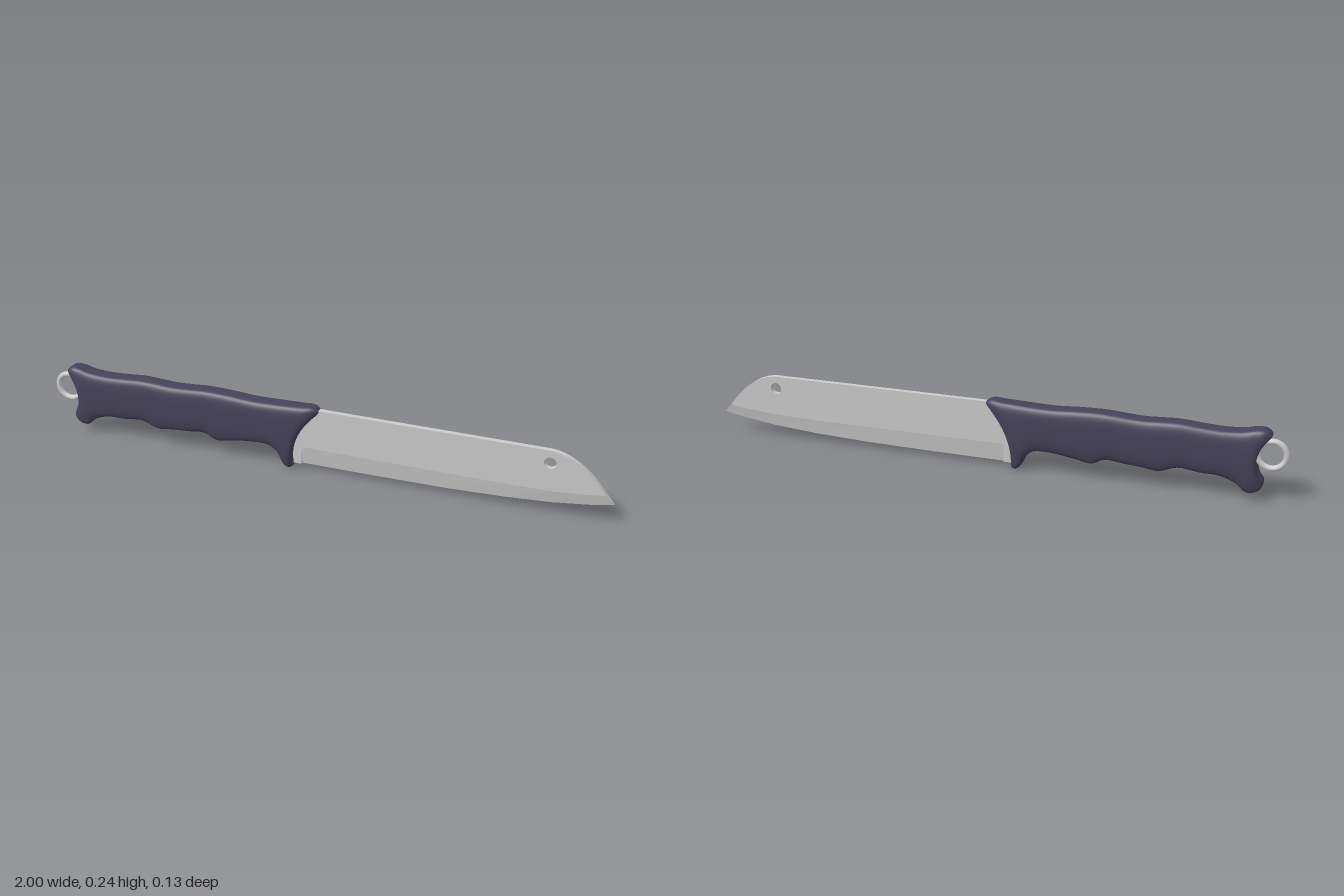
import * as THREE from 'three';

const steel = new THREE.MeshStandardMaterial({ color: 0xcccccc });
const grip = new THREE.MeshStandardMaterial({ color: 0x46425a });

// Skins a row of equal closed sections (listed along +x, each running top, +z, bottom, -z)
function loft(sections) {
  const n = sections[0].length, last = (sections.length - 1) * n, index = [];
  for (let i = 0; i < sections.length - 1; i++) {
    for (let j = 0; j < n; j++) {
      const a = i * n + j, b = i * n + (j + 1) % n;
      index.push(a, b, a + n, b, b + n, a + n);
    }
  }
  // end caps, as strips from side to side
  for (let j = 0; j < Math.floor(n / 2); j++) {
    const a = j, b = j + 1, c = n - j - 1, d = (n - j) % n;
    index.push(a, c, b, a, d, c);
    index.push(last + a, last + b, last + c, last + a, last + c, last + d);
  }
  const geo = new THREE.BufferGeometry();
  geo.setAttribute('position', new THREE.Float32BufferAttribute(sections.flat(2), 3));
  geo.setIndex(index);
  return geo;
}

function addMesh(parent, name, geo, material) {
  const mesh = new THREE.Mesh(geo, material);
  mesh.name = name;
  parent.add(mesh);
  return mesh;
}

// Handle stations: top x, top y, bottom x, bottom y, half width, bow of the middle along x
const W = 0.041;
const handleStations = [
  [-0.937, 0.215, -0.925, 0.075, 0.012, 0.036],
  [-0.942, 0.228, -0.925, 0.055, 0.031, 0.034],
  [-0.925, 0.243, -0.910, 0.033, 0.039, 0.028],
  [-0.895, 0.244, -0.875, 0.026, W, 0.014],
  [-0.85, 0.234, -0.84, 0.053, W, 0],
  [-0.79, 0.230, -0.79, 0.072, W, 0],
  [-0.72, 0.233, -0.72, 0.075, W, 0],
  [-0.65, 0.238, -0.65, 0.082, W, 0],
  [-0.59, 0.236, -0.59, 0.061, W, 0],
  [-0.53, 0.233, -0.53, 0.068, W, 0],
  [-0.47, 0.236, -0.47, 0.072, W, 0],
  [-0.41, 0.240, -0.41, 0.077, W, 0],
  [-0.366, 0.240, -0.366, 0.057, W, 0],
  [-0.31, 0.238, -0.31, 0.066, W, 0],
  [-0.23, 0.233, -0.23, 0.077, W, 0],
  [-0.16, 0.234, -0.165, 0.074, W, 0],
  [-0.11, 0.236, -0.137, 0.050, W, -0.004],
  [-0.06, 0.238, -0.118, 0.012, 0.040, -0.012],
  [-0.015, 0.240, -0.100, 0.001, 0.037, -0.022],
  [0.004, 0.230, -0.087, 0.008, 0.029, -0.030],
  [0.004, 0.218, -0.085, 0.022, 0.012, -0.031],
];

function handleGeometry() {
  const top = new THREE.CatmullRomCurve3(handleStations.map(s => new THREE.Vector3(s[0], s[1], s[4])));
  const bottom = new THREE.CatmullRomCurve3(handleStations.map(s => new THREE.Vector3(s[2], s[3], s[5])));
  const steps = (handleStations.length - 1) * 4, sides = 48, sections = [];
  const power = (v, e) => Math.sign(v) * Math.abs(v) ** e;
  for (let i = 0; i <= steps; i++) {
    const t = top.getPoint(i / steps), b = bottom.getPoint(i / steps);
    const ring = [];
    for (let j = 0; j < sides; j++) {
      const a = (j / sides) * Math.PI * 2;
      const s = power(Math.cos(a), 0.7), k = (s + 1) / 2;
      ring.push([
        THREE.MathUtils.lerp(b.x, t.x, k) + b.z * (1 - s * s),
        THREE.MathUtils.lerp(b.y, t.y, k),
        t.z * power(Math.sin(a), 0.4),
      ]);
    }
    sections.push(ring);
  }
  const geo = loft(sections);
  geo.computeVertexNormals();
  return geo;
}

// Ground edge stations: x, shoulder y, cutting edge y
const T = 0.009; // half the blade thickness
const edgeStations = [
  [-0.057, 0.083, 0.018], [0.2, 0.083, 0.019], [0.45, 0.083, 0.022], [0.65, 0.083, 0.030],
  [0.8, 0.086, 0.041], [0.92, 0.096, 0.057], [0.968, 0.104, 0.066],
];

function bladeGeometry() {
  const shape = new THREE.Shape();
  shape.moveTo(-0.09, 0.018);
  shape.lineTo(-0.057, 0.018);
  for (const [x, y] of edgeStations) shape.lineTo(x, y);
  shape.quadraticCurveTo(0.88, 0.222, 0.785, 0.229);
  shape.lineTo(-0.03, 0.229);
  shape.lineTo(-0.09, 0.16);
  // hole near the tip
  shape.holes.push(new THREE.Path().absarc(0.785, 0.185, 0.02, 0, Math.PI * 2, true));
  const geo = new THREE.ExtrudeGeometry(shape, { depth: 2 * T, bevelEnabled: false, curveSegments: 16 });
  return geo.translate(0, 0, -T);
}

function edgeGeometry() {
  const sections = edgeStations.map(([x, y, e]) => [[x, y, T], [x, e, 0], [x, y, -T]]);
  sections.push([[0.998, 0.073, 0.0005], [0.998, 0.072, 0], [0.998, 0.073, -0.0005]]); // tip
  const geo = loft(sections).toNonIndexed();
  geo.computeVertexNormals();
  return geo;
}

export function createModel() {
  const group = new THREE.Group();
  const knife = new THREE.Group();
  knife.name = 'knife';
  group.add(knife);

  addMesh(knife, 'handle', handleGeometry(), grip);
  addMesh(knife, 'blade', bladeGeometry(), steel);
  addMesh(knife, 'cuttingEdge', edgeGeometry(), steel);

  // lanyard ring in the notch of the pommel
  const ring = addMesh(knife, 'lanyardRing', new THREE.TorusGeometry(0.046, 0.01, 12, 40), steel);
  ring.position.set(-0.945, 0.158, 0);

  // the knife lies turned slightly about the vertical
  knife.rotation.y = -0.044;
  knife.position.z = 0.012;
  return group;
}
